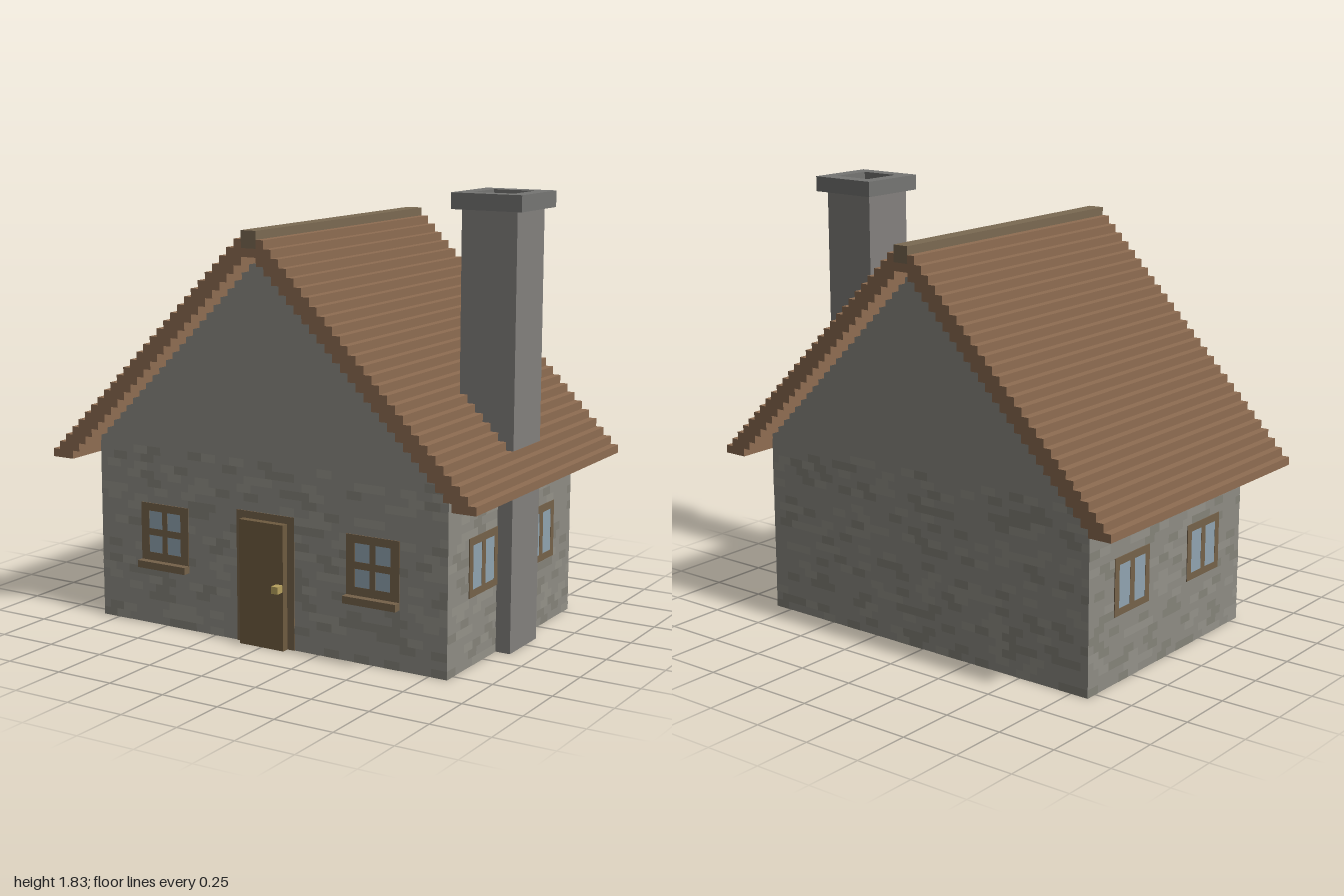
import * as THREE from 'three';
import { mergeGeometries } from 'three/addons/utils/BufferGeometryUtils.js';

const mat = (color) => new THREE.MeshStandardMaterial({ color, flatShading: true });
const M = {
  wall: mat(0x8e8c84), brickDark: mat(0x858379), brickLight: mat(0x949289),
  roof: mat(0x8f6d52), ridge: mat(0x7b6a52), chimney: mat(0x83807d), cap: mat(0x757573),
  wood: mat(0x75624a), door: mat(0x6f5b40), glass: mat(0x90a4b0), knob: mat(0xb8a25e),
};

function add(parent, name, geometry, material) {
  const mesh = new THREE.Mesh(geometry, material);
  mesh.name = name;
  parent.add(mesh);
  return mesh;
}

// Box given by its lower and upper limits on each axis
function box(parent, name, x0, x1, y0, y1, z0, z1, material) {
  const g = new THREE.BoxGeometry(x1 - x0, y1 - y0, z1 - z0);
  g.translate((x0 + x1) / 2, (y0 + y1) / 2, (z0 + z1) / 2);
  return add(parent, name, g, material);
}

function extrude(points, depth, holes = []) {
  const v = (list) => list.map(([x, y]) => new THREE.Vector2(x, y));
  const shape = new THREE.Shape(v(points));
  holes.forEach((h) => shape.holes.push(new THREE.Path(v(h))));
  return new THREE.ExtrudeGeometry(shape, { depth, bevelEnabled: false });
}

const rect = (x0, x1, y0, y1) => [[x0, y0], [x1, y0], [x1, y1], [x0, y1]];

// Window facing +z with its back on z = 0: frame, glass, optional sill
function makeWindow(name, w, y0, y1, panes, sill) {
  const g = new THREE.Group();
  g.name = name;
  add(g, 'windowFrame', extrude(rect(-w / 2, w / 2, y0, y1), 0.004, panes), M.wood);
  const [gx, gy] = [w / 2 - 0.02, 0.02];
  box(g, 'windowGlass', -gx, gx, y0 + gy, y1 - gy, 0, 0.003, M.glass);
  if (sill) box(g, 'windowSill', -w / 2, w / 2, 0.245, 0.275, 0, 0.035, M.wood);
  return g;
}

// Faint stone courses on a wall that faces +z
function addStones(parent, width, seed) {
  let s = seed;
  const rand = () => (s = (s * 16807) % 2147483647) / 2147483647;
  const lists = [[], []];
  const rows = 22, h = 0.76 / rows, cols = Math.round(width / 0.07), w = width / cols;
  for (let r = 0; r < rows; r++) {
    for (let c = 0; c < cols; c++) {
      const k = Math.floor(rand() * 5);
      if (k > 1) continue;
      const x0 = -width / 2 + (c + (r % 2) / 2) * w;
      const x1 = Math.min(x0 + w, width / 2);
      const g = new THREE.PlaneGeometry(x1 - x0, h);
      lists[k].push(g.translate((x0 + x1) / 2, (r + 0.5) * h, 0.0012));
    }
  }
  add(parent, 'darkStones', mergeGeometries(lists[0]), M.brickDark);
  add(parent, 'lightStones', mergeGeometries(lists[1]), M.brickLight);
}

export function createModel() {
  const house = new THREE.Group();
  house.name = 'cottage';
  const W = 0.83, D = 0.55;

  // Walls with gables
  const walls = extrude([[-W, 0], [W, 0], [W, 0.79], [0, 1.62], [-W, 0.79]], 2 * D);
  add(house, 'walls', walls.translate(0, 0, -D), M.wall);
  const sides = [['front', 2 * W, D, 0], ['leftSide', 2 * D, W, Math.PI / 2],
    ['back', 2 * W, D, Math.PI], ['rightSide', 2 * D, W, -Math.PI / 2]];
  const faces = sides.map(([name, width, dist, angle], i) => {
    const face = new THREE.Group();
    face.name = name + 'Wall';
    face.rotation.y = angle;
    face.position.set(Math.sin(angle) * dist, 0, Math.cos(angle) * dist);
    addStones(face, width, 1234 + 777 * i);
    house.add(face);
    return face;
  });

  // Stepped roof: equal rise and tread, each course three treads deep
  const u = 1 / 29, y0 = 0.69, outer = [], inner = [];
  for (let i = 0; i < 28; i++) outer.push([1 - i * u, y0 + i * u], [1 - i * u, y0 + (i + 1) * u]);
  outer.push([u, y0 + 28 * u], [u, y0 + 27 * u]);
  for (let i = 0; i < 26; i++) {
    inner.push([1 - (i + 3) * u, y0 + i * u], [1 - (i + 3) * u, y0 + (i + 1) * u]);
  }
  const flip = (list) => list.map(([x, y]) => [-x, y]);
  const profile = [...outer, ...flip(outer).reverse(), ...flip(inner),
    [0, y0 + 26 * u], ...[...inner].reverse()];
  add(house, 'roof', extrude(profile, 1.31).translate(0, 0, -0.655), M.roof);
  box(house, 'roofRidge', -u, u, y0 + 27 * u, y0 + 29 * u, -0.655, 0.655, M.ridge);

  // Chimney with a hollow cap
  box(house, 'chimney', 0.655, 0.895, 0, 1.765, -0.1, 0.14, M.chimney);
  const cap = extrude(rect(-0.153, 0.153, -0.153, 0.153), 0.065,
    [rect(-0.088, 0.088, -0.088, 0.088)]).rotateX(-Math.PI / 2);
  add(house, 'chimneyCap', cap.translate(0.774, 1.765, 0.016), M.cap);

  // Front windows, four panes each
  const four = [];
  for (const [a, b] of [[-0.08, -0.013], [0.013, 0.08]]) {
    for (const [c, d] of [[0.31, 0.383], [0.412, 0.487]]) four.push(rect(a, b, c, d));
  }
  for (const s of [-1, 1]) {
    const win = makeWindow('frontWindow', 0.24, 0.25, 0.52, four, true);
    win.position.x = s * 0.5;
    faces[0].add(win);
  }

  // Side windows, two tall panes each
  const two = [rect(-0.09, -0.016, 0.31, 0.488), rect(0.016, 0.09, 0.31, 0.488)];
  for (const face of [faces[1], faces[3]]) {
    for (const s of [-1, 1]) {
      const win = makeWindow('sideWindow', 0.24, 0.28, 0.52, two, false);
      win.position.x = s * 0.26;
      face.add(win);
    }
  }

  // Door
  box(house, 'doorFrame', -0.138, 0.138, 0, 0.55, D, D + 0.004, M.wood);
  box(house, 'door', -0.105, 0.105, 0, 0.52, D, D + 0.035, M.door);
  box(house, 'doorKnob', 0.073, 0.103, 0.245, 0.275, D + 0.03, D + 0.072, M.knob);
  return house;
}
